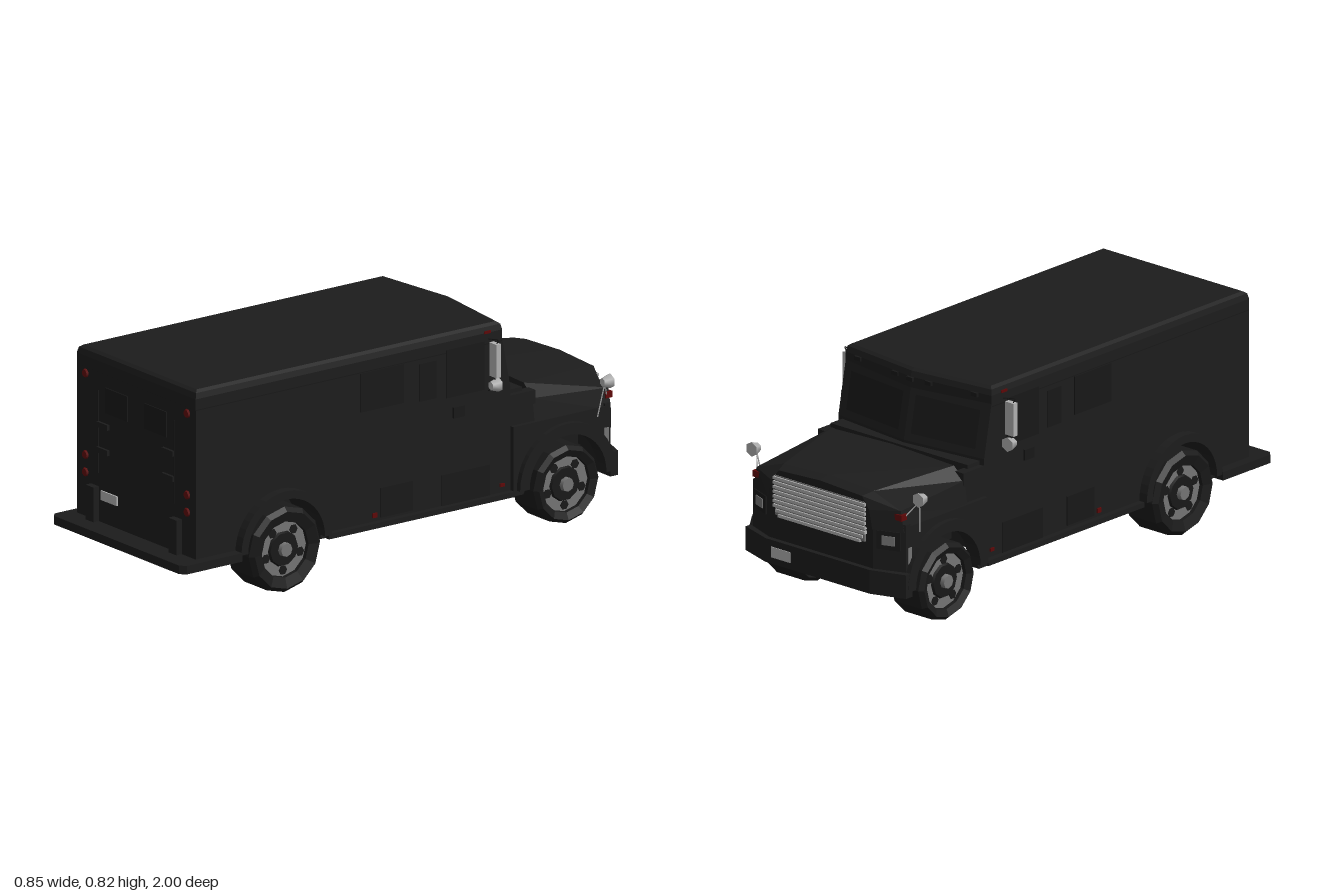
import * as THREE from 'three';

const mat = (name, color, extra = {}) => {
  const m = new THREE.MeshStandardMaterial({ color, ...extra });
  m.name = name;
  return m;
};

export function createModel() {
  const root = new THREE.Group();
  root.name = 'armouredTruck';
  const paint = mat('blackPaint', 0x1c1c1c, { side: THREE.DoubleSide });
  const trim = mat('darkTrim', 0x181818);
  const glass = mat('darkGlass', 0x181818, { side: THREE.DoubleSide });
  const rubber = mat('rubber', 0x191919);
  const chassis = mat('chassisBlack', 0x1a1a1a);
  const steel = mat('wheelSteel', 0x737373);
  const silver = mat('silver', 0xb0b0b0);
  const red = mat('redLamp', 0x5e0808);

  const add = (name, geo, m, parent = root) => {
    const mesh = new THREE.Mesh(geo, m);
    mesh.name = name;
    parent.add(mesh);
    return mesh;
  };
  // box given by its min and max on each axis
  const box = (name, m, x0, x1, y0, y1, z0, z1) => {
    const mesh = add(name, new THREE.BoxGeometry(x1 - x0, y1 - y0, z1 - z0), m);
    mesh.position.set((x0 + x1) / 2, (y0 + y1) / 2, (z0 + z1) / 2);
    return mesh;
  };
  // the same box on both sides of the truck
  const pair = (name, m, x0, x1, ...r) => {
    box(name, m, x0, x1, ...r);
    box(name, m, -x1, -x0, ...r);
  };
  // side profile in (z, y) extruded between x0 and x1
  const profile = (shape, x0, x1, steps = 1) =>
    new THREE.ExtrudeGeometry(shape, { depth: x1 - x0, steps, bevelEnabled: false, curveSegments: 10 })
      .rotateY(-Math.PI / 2).translate(x1, 0, 0);
  // plan outline in (x, z) extruded upwards from y0
  const plan = (pts, y0, options) =>
    new THREE.ExtrudeGeometry(new THREE.Shape(pts.map(([x, z]) => new THREE.Vector2(x, -z))), options)
      .rotateX(-Math.PI / 2).translate(0, y0, 0);
  const rod = (name, m, pts, r, sides = 5) => add(name, new THREE.TubeGeometry(
    new THREE.CatmullRomCurve3(pts.map(p => new THREE.Vector3(...p)), false, 'catmullrom', 0.1),
    pts.length * 4, r, sides), m);

  // cargo body and cab, with rear wheel arches cut out and a V-shaped front
  const side = new THREE.Shape();
  side.moveTo(-0.5, 0.22);
  side.lineTo(0.353, 0.22);
  side.absarc(0.53, 0.19, 0.18, Math.PI - 0.17, 0.17, true);
  side.lineTo(0.91, 0.22);
  side.lineTo(0.91, 0.8);
  side.lineTo(-0.455, 0.8);
  side.lineTo(-0.5, 0.57);
  const bodyGeo = profile(side, -0.35, 0.35, 2);
  const bp = bodyGeo.attributes.position;
  for (let i = 0; i < bp.count; i++)
    if (Math.abs(bp.getX(i)) < 0.01 && bp.getZ(i) < -0.4) bp.setZ(i, bp.getZ(i) - 0.04);
  bodyGeo.computeVertexNormals();
  add('body', bodyGeo, paint);
  pair('frontSkirt', paint, 0.325, 0.35, 0.17, 0.23, -0.5, 0.351);
  pair('rearSkirt', paint, 0.325, 0.35, 0.17, 0.23, 0.709, 0.91);
  box('tailSkirt', paint, -0.33, 0.33, 0.17, 0.23, 0.885, 0.91);
  box('wheelWellWall', chassis, -0.2, 0.2, 0.22, 0.36, 0.34, 0.72);
  add('roof', plan([[-0.333, 0.893], [0.333, 0.893], [0.333, -0.445], [0, -0.485], [-0.333, -0.445]], 0.76,
    { depth: 0.04, bevelThickness: 0.03, bevelSize: 0.018, bevelSegments: 2 }), paint);

  // split windscreen lying on the slanted V front
  const onFront = (x, y) => [x, y, -0.5 + 0.045 * (y - 0.57) / 0.23 - 0.04 * (1 - Math.abs(x) / 0.35) - 0.005];
  for (const s of [-1, 1]) {
    const g = new THREE.BufferGeometry();
    g.setAttribute('position', new THREE.Float32BufferAttribute(
      [onFront(s * 0.03, 0.6), onFront(s * 0.31, 0.6), onFront(s * 0.31, 0.74), onFront(s * 0.03, 0.74)].flat(), 3));
    g.setIndex(s > 0 ? [0, 2, 1, 0, 3, 2] : [0, 1, 2, 0, 2, 3]);
    g.computeVertexNormals();
    add('windscreen', g, glass);
  }
  for (const x of [-0.28, -0.08, 0, 0.08, 0.28])
    box('roofMarker', trim, x - 0.015, x + 0.015, 0.785, 0.8, -0.512 + Math.abs(x) * 0.12, -0.44);

  // side windows, hatches, door and sills
  pair('rearSideWindow', glass, 0.345, 0.353, 0.61, 0.755, -0.02, 0.175);
  pair('slitWindow', glass, 0.345, 0.353, 0.6, 0.74, -0.165, -0.09);
  pair('doorWindow', glass, 0.345, 0.353, 0.59, 0.77, -0.38, -0.21);
  pair('doorHandle', trim, 0.345, 0.358, 0.51, 0.55, -0.29, -0.24);
  pair('sideHatch', trim, 0.345, 0.353, 0.2, 0.31, -0.06, 0.085);
  pair('stepWell', trim, 0.345, 0.353, 0.19, 0.305, -0.405, -0.19);
  pair('sill', paint, 0.34, 0.372, 0.17, 0.19, -0.5, 0.33);
  pair('sideMarker', red, 0.345, 0.356, 0.205, 0.222, 0.1, 0.12);
  pair('sideMarker', red, 0.345, 0.356, 0.212, 0.224, -0.47, -0.45);
  pair('sideMarker', red, 0.345, 0.353, 0.797, 0.807, -0.41, -0.38);

  // rear doors, lamps, plate and step bumper
  pair('rearWindow', glass, 0.05, 0.18, 0.615, 0.71, 0.905, 0.914);
  pair('rearDoorSeam', trim, 0.223, 0.227, 0.38, 0.69, 0.905, 0.913);
  for (const y of [0.47, 0.565]) pair('doorHinge', paint, 0.16, 0.225, y - 0.01, y + 0.01, 0.905, 0.92);
  pair('bumperPost', paint, 0.222, 0.268, 0.2, 0.33, 0.905, 0.935);
  for (const s of [-1, 1]) for (const y of [0.365, 0.43, 0.735])
    add('rearLamp', new THREE.CylinderGeometry(0.014, 0.018, 0.008, 7).rotateX(Math.PI / 2), red)
      .position.set(s * 0.3, y, 0.913);
  box('rearPlate', silver, -0.205, -0.11, 0.285, 0.32, 0.908, 0.916);
  add('rearStep', plan([[-0.39, 0.88], [0.39, 0.88], [0.39, 0.98], [0.37, 1], [-0.37, 1], [-0.39, 0.98]], 0.168,
    { depth: 0.032, bevelEnabled: false }), paint);
  pair('rearStepSide', paint, 0.34, 0.389, 0.168, 0.2, 0.73, 0.89);

  // hollow hood lofted from half cross-sections: z, crease half-width, outer half-width, top height
  const sections = [[-0.6, 0.295, 0.362, 0.56], [-0.94, 0.215, 0.362, 0.535], [-0.985, 0.2, 0.25, 0.525]];
  const ring = ([z, w, o, t]) => [[o, 0.41], [o - 0.015, t - 0.045], [w, t], [0, t + 0.01],
    [-w, t], [-o + 0.015, t - 0.045], [-o, 0.41]].map(([x, y]) => [x, y, z]);
  const tri = [];
  for (let i = 0; i < sections.length - 1; i++) {
    const a = ring(sections[i]), b = ring(sections[i + 1]);
    for (let j = 0; j < 6; j++) tri.push(a[j], b[j], a[j + 1], a[j + 1], b[j], b[j + 1]);
  }
  const nose = ring(sections[2]);
  for (let j = 1; j < 6; j++) tri.push(nose[0], nose[j + 1], nose[j]);
  const hood = new THREE.BufferGeometry();
  hood.setAttribute('position', new THREE.Float32BufferAttribute(tri.flat(), 3));
  hood.computeVertexNormals();
  add('hood', hood, paint);
  box('cowl', paint, -0.33, 0.33, 0.52, 0.56, -0.565, -0.49);
  pair('engineBayWall', chassis, 0.2, 0.208, 0.24, 0.46, -0.93, -0.5);

  // front fenders, cowl corners and wheel-arch flares
  const fender = new THREE.Shape();
  fender.moveTo(-0.5, 0.17);
  fender.lineTo(-0.5, 0.43);
  fender.lineTo(-0.93, 0.43);
  fender.lineTo(-0.93, 0.25);
  fender.lineTo(-0.895, 0.25);
  fender.absarc(-0.73, 0.19, 0.175, Math.PI - 0.35, 0, true);
  fender.lineTo(-0.545, 0.17);
  const flare = (z, r0, r1) => {
    const s = new THREE.Shape();
    s.absarc(z, 0.19, r1, 0, Math.PI, false);
    s.absarc(z, 0.19, r0, Math.PI, 0, true);
    return s;
  };
  for (const [x0, x1, f0, f1] of [[0.32, 0.366, 0.33, 0.386], [-0.366, -0.32, -0.386, -0.33]]) {
    add('frontFender', profile(fender, x0, x1), paint);
    add('frontFlare', profile(flare(-0.73, 0.172, 0.215), f0, f1), paint);
    add('rearFlare', profile(flare(0.53, 0.172, 0.203), f0, f1), paint);
  }
  pair('cowlCorner', paint, 0.31, 0.35, 0.42, 0.545, -0.61, -0.49);

  // nose with grille, headlamps and front bumper
  add('nosePanel', plan([[0.367, -0.91], [0.367, -0.935], [0.25, -0.98], [-0.25, -0.98], [-0.367, -0.935], [-0.367, -0.91]],
    0.25, { depth: 0.19, bevelEnabled: false }), paint);
  box('grilleBack', steel, -0.215, 0.215, 0.355, 0.505, -0.988, -0.97);
  for (let i = 0; i < 9; i++) {
    const w = 0.22 - Math.max(0, 2 - i) * 0.012;
    box('grilleBar', silver, -w, w, 0.35 + i * 0.0175, 0.361 + i * 0.0175, -0.994, -0.975);
  }
  for (const s of [-1, 1]) {
    const bezel = add('headlampBezel', new THREE.BoxGeometry(0.09, 0.07, 0.008), trim);
    const lamp = add('headlamp', new THREE.BoxGeometry(0.05, 0.035, 0.008), steel);
    bezel.position.set(s * 0.308, 0.375, -0.961);
    lamp.position.set(s * 0.309, 0.375, -0.964);
    bezel.rotation.y = lamp.rotation.y = s * -0.367;
    box('turnSignal', red, s * 0.34 - 0.018, s * 0.34 + 0.018, 0.455, 0.478, -0.95, -0.92);
  }
  pair('fenderSideLamp', steel, 0.36, 0.37, 0.29, 0.35, -0.925, -0.905);
  add('frontBumper', plan([[0.385, -0.92], [0.385, -0.955], [0.25, -1], [-0.25, -1], [-0.385, -0.955], [-0.385, -0.92]],
    0.17, { depth: 0.09, bevelEnabled: false }), paint);
  box('frontPlate', silver, 0.13, 0.22, 0.195, 0.235, -1.003, -0.998);

  // wheels
  for (const [z, r, y] of [[-0.73, 0.146, 0.175], [0.53, 0.16, 0.172]]) for (const s of [-1, 1]) {
    const wheel = new THREE.Group();
    wheel.name = z < 0 ? 'frontWheel' : 'rearWheel';
    const tyre = [[0.103, -0.04], [0.105, -0.07], [r * 0.9, -0.082], [r, -0.065], [r, 0.065], [r * 0.9, 0.082], [0.105, 0.07], [0.103, 0.04]];
    add('tyre', new THREE.LatheGeometry(tyre.map(p => new THREE.Vector2(...p)), 12).toNonIndexed(), rubber, wheel)
      .geometry.computeVertexNormals();
    add('rim', new THREE.CylinderGeometry(0.105, 0.105, 0.06, 12), steel, wheel).position.y = 0.025;
    add('brakeDrum', new THREE.CylinderGeometry(0.105, 0.105, 0.06, 12), chassis, wheel).position.y = -0.035;
    add('hubRing', new THREE.CylinderGeometry(0.062, 0.068, 0.012, 10), trim, wheel).position.y = 0.058;
    add('hub', new THREE.CylinderGeometry(0.025, 0.03, 0.03, 8), steel, wheel).position.y = 0.065;
    for (let i = 0; i < 5; i++) {
      const a = i * Math.PI * 0.4;
      add('rimHole', new THREE.CylinderGeometry(0.018, 0.018, 0.006, 6), trim, wheel)
        .position.set(Math.cos(a) * 0.08, 0.055, Math.sin(a) * 0.08);
    }
    wheel.rotation.z = -s * Math.PI / 2;
    wheel.position.set(s * 0.307, y, z);
    root.add(wheel);
  }

  // chassis, axles and exhaust
  pair('frameRail', chassis, 0.13, 0.165, 0.175, 0.24, -0.93, 0.9);
  for (const z of [-0.4, -0.1, 0.25, 0.8]) box('crossMember', chassis, -0.14, 0.14, 0.185, 0.23, z - 0.02, z + 0.02);
  for (const z of [-0.73, 0.53]) {
    box('axle', chassis, -0.25, 0.25, 0.125, 0.142, z - 0.015, z + 0.015);
    add('differential', new THREE.SphereGeometry(0.05, 8, 6).scale(1.5, 0.45, 1), chassis).position.set(0, 0.142, z);
    pair('leafSpring', chassis, 0.165, 0.19, 0.12, 0.145, z - 0.03, z + 0.03);
  }
  rod('driveShaft', chassis, [[0, 0.15, -0.73], [0, 0.18, -0.1], [0, 0.15, 0.53]], 0.012, 6);
  rod('exhaustPipe', silver, [[-0.1, 0.18, -0.55], [-0.12, 0.165, -0.4], [-0.19, 0.16, -0.2], [-0.2, 0.15, 0.2]], 0.012, 6);
  for (const [z, length] of [[-0.08, 0.07], [0.1, 0.14]])
    add('muffler', new THREE.CylinderGeometry(0.024, 0.024, length, 8).rotateX(Math.PI / 2), silver).position.set(-0.2, 0.15, z);

  // door mirrors and fender mirrors on their rods
  for (const s of [-1, 1]) {
    box('doorMirror', silver, s * 0.39 - 0.021, s * 0.39 + 0.021, 0.645, 0.77, -0.41, -0.39);
    rod('doorMirrorArm', trim, [[s * 0.345, 0.775, -0.4], [s * 0.41, 0.787, -0.4], [s * 0.4, 0.77, -0.4]], 0.002);
    rod('doorMirrorArm', trim, [[s * 0.345, 0.58, -0.4], [s * 0.385, 0.6, -0.4], [s * 0.39, 0.65, -0.4]], 0.002);
    for (const [name, x, y, z] of [['convexMirror', 0.387, 0.612, -0.4], ['fenderMirror', 0.4, 0.535, -0.89]]) {
      const m = add(name, new THREE.CylinderGeometry(0.016, 0.028, 0.035, 6).rotateX(Math.PI / 2), silver);
      m.position.set(s * x, y, z);
    }
    rod('fenderMirrorArm', silver, [[s * 0.35, 0.46, -0.93], [s * 0.39, 0.52, -0.89], [s * 0.375, 0.4, -0.87]], 0.0025);
  }
  return root;
}
